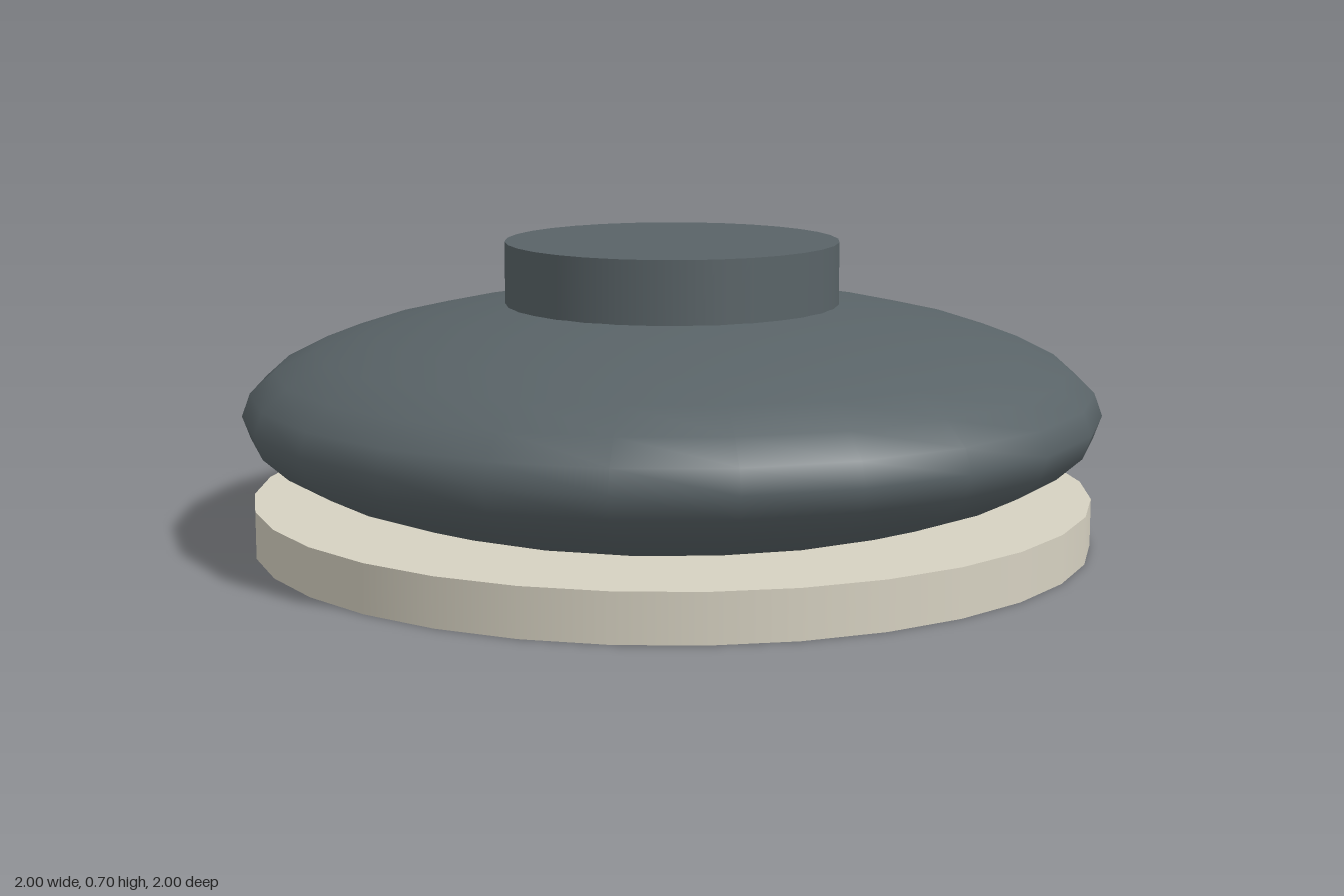
import * as THREE from 'three';

export function createModel() {
  const model = new THREE.Group();
  const slate = new THREE.MeshStandardMaterial({ color: 0x596367 });
  slate.name = 'slate grey';
  const cream = new THREE.MeshStandardMaterial({ color: 0xd6d1c1 });
  cream.name = 'warm cream';

  const add = (name, geometry, material, y) => {
    const mesh = new THREE.Mesh(geometry, material);
    mesh.name = name;
    mesh.position.y = y;
    model.add(mesh);
    return mesh;
  };

  // Flat round base disc
  add('base', new THREE.CylinderGeometry(0.98, 0.98, 0.11, 32), cream, 0.055);

  // Squashed sphere body; the lower cap stays hidden inside the base
  const body = add('body', new THREE.SphereGeometry(1, 24, 16), slate, 0.307);
  body.scale.y = 0.27;

  // Round cap sunk into the top of the body
  add('cap', new THREE.CylinderGeometry(0.39, 0.39, 0.2, 32), slate, 0.6);

  return model;
}
